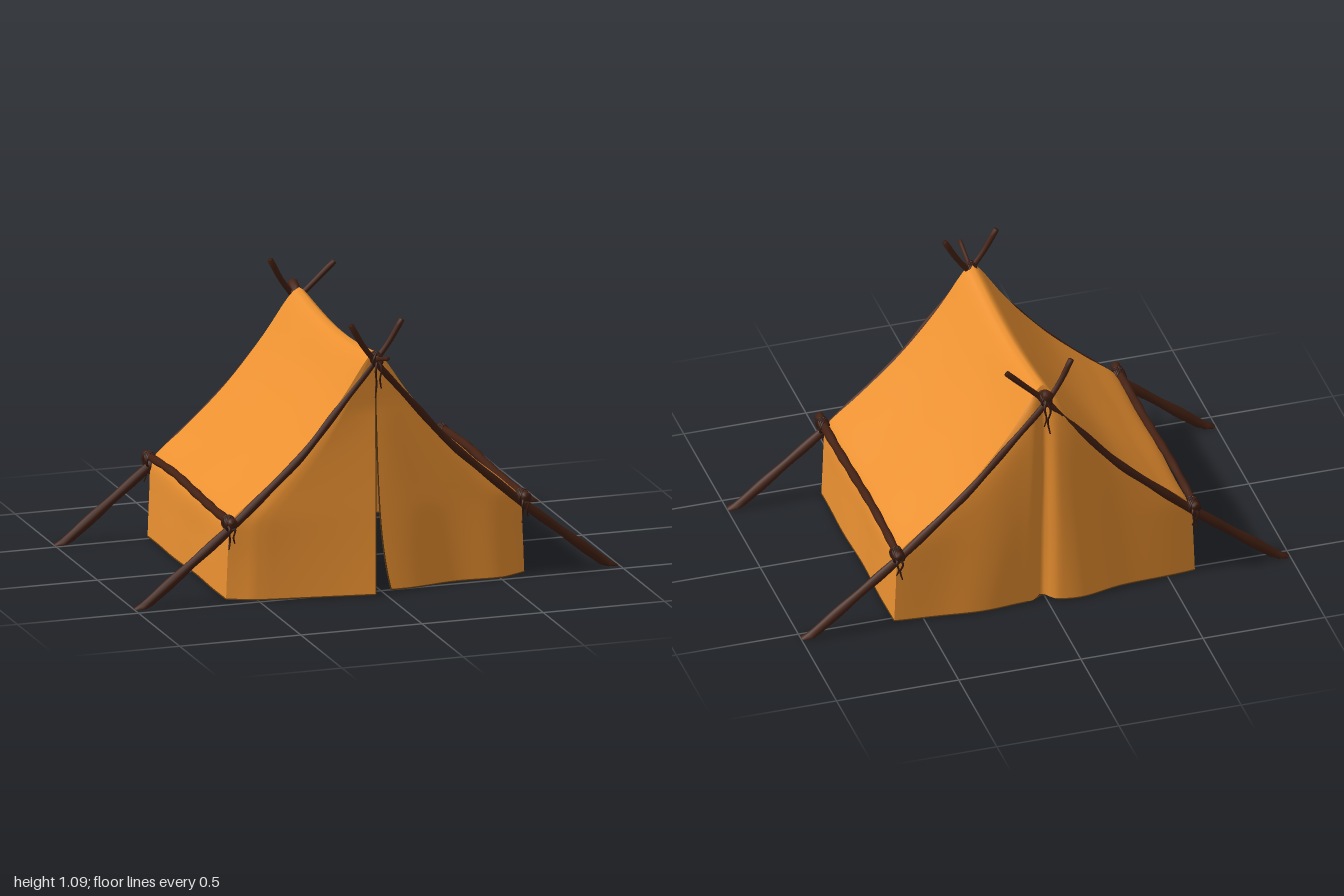
import * as THREE from 'three';
import { mergeVertices } from 'three/addons/utils/BufferGeometryUtils.js';

const canvas = new THREE.MeshStandardMaterial({ color: 0xea9030, side: THREE.DoubleSide });
const hemMat = new THREE.MeshStandardMaterial({ color: 0x5c3a14 });
const wood = new THREE.MeshStandardMaterial({ color: 0x432012 });
const rope = new THREE.MeshStandardMaterial({ color: 0x35190f });

const FRONT = 0.43, BACK = -0.525;
const { lerp, clamp } = THREE.MathUtils;
const V = (x, y, z) => new THREE.Vector3(x, y, z);
const curveOf = pts => new THREE.CatmullRomCurve3(pts.map(p => V(...p)), false, 'centripetal');

function add(parent, name, geometry, material) {
  const mesh = new THREE.Mesh(geometry, material);
  mesh.name = name;
  parent.add(mesh);
  return mesh;
}

// Tapered, slightly knobbly branch with closed ends; anything under the floor is cut flat
function branch(pts, r0, r1, { sides = 10, n = 50, knob = 0.08, floor = -1 } = {}) {
  const curve = curveOf(pts), g = new THREE.TubeGeometry(curve, n, 1, sides), pos = g.attributes.position;
  const p = V(0, 0, 0);
  for (let i = 0; i <= n; i++) {
    const t = clamp((i - 1) / (n - 2), 0, 1), c = curve.getPointAt(i / n), hub = curve.getPointAt(t);
    const r = i === 0 || i === n ? 0 : lerp(r0, r1, t) * (1 + knob * Math.sin(i * 0.9 + r0 * 400));
    for (let j = 0; j <= sides; j++) {
      const k = i * (sides + 1) + j;
      p.fromBufferAttribute(pos, k).sub(c).multiplyScalar(r).add(hub);
      pos.setXYZ(k, p.x, Math.max(p.y, floor), p.z);
    }
  }
  g.deleteAttribute('uv');
  g.deleteAttribute('normal');
  const out = mergeVertices(g, 1e-5);
  out.computeVertexNormals();
  return out;
}

// Smooth sheet from a rule f(u, v) -> Vector3
function sheet(f, nu, nv) {
  const pos = [], idx = [];
  for (let i = 0; i <= nu; i++) for (let j = 0; j <= nv; j++) {
    pos.push(...f(i / nu, j / nv).toArray());
    if (i < nu && j < nv) {
      const a = i * (nv + 1) + j, b = a + nv + 1;
      idx.push(a, b, a + 1, b, b + 1, a + 1);
    }
  }
  const g = new THREE.BufferGeometry();
  g.setAttribute('position', new THREE.Float32BufferAttribute(pos, 3));
  g.setIndex(idx);
  g.computeVertexNormals();
  return g;
}

// Half cross-section of the canvas, ridge (s = 0) to hem (s = 1)
const half = curveOf([[0, 0.968, 0], [0.025, 0.95, 0], [0.14, 0.785, 0], [0.3, 0.597, 0], [0.46, 0.449, 0],
  [0.585, 0.343, 0], [0.6, 0.315, 0], [0.609, 0.17, 0], [0.615, 0.018, 0]]);
function clothPoint(s, z, side) {
  const p = half.getPointAt(s);
  const t = (z - BACK) / (FRONT - BACK), high = Math.max(0, (p.y - 0.34) / 0.63);
  const sag = -0.04 * Math.sin(Math.PI * t) + 0.017 * (1 - t);
  const ripple = 0.004 * Math.sin(Math.PI * t) * Math.sin(z * 11 + s * 5 + side) * (1 - high);
  return V(side * (p.x + ripple), p.y + sag * high * high, z);
}
const backEdge = s => BACK + 0.03 * (1 - s) ** 8;

// Front flap: hangs from the pole edge to the middle slit and swings outward low down
function flapPoint(u, s, side) {
  const p = clothPoint(s, FRONT, side), low = clamp(1 - p.y / 0.74, 0, 1);
  const inner = side < 0 ? -0.04 * low : 0.044 * low ** 4;
  const swing = side < 0 ? 0.095 * u : 0.04 * u + 0.01 * Math.sin(u * 9);
  const z = FRONT + low * (swing + 0.025 * Math.min(1, u * 6)) + 0.008 * Math.min(1, u * 4) * Math.min(1, s * 4);
  return V(lerp(p.x, inner, u), p.y, z);
}

// Back wall: closed, with a narrow pleat down the middle and soft swells beside it
function backPoint(u, s) {
  const z = backEdge(s), e = clothPoint(s, z, 1), x = (2 * u - 1) * e.x;
  const low = clamp(1 - e.y / 0.95, 0, 1), edge = 1 - (2 * u - 1) ** 6;
  const bump = (c, w) => Math.exp(-(((x - c * (0.3 + 0.7 * low)) / w) ** 2));
  const out = 0.015 + 0.04 * bump(-0.13, 0.13) + 0.022 * bump(0.26, 0.16) - 0.045 * bump(0.01, 0.028);
  return V(x, e.y, z - Math.sqrt(low) * out * edge);
}

const hem = f => {
  const pts = [];
  for (let i = 0; i <= 30; i++) pts.push(f(i / 30).toArray());
  return branch(pts, 0.003, 0.003, { sides: 5, knob: 0 });
};

// Crossed cord turns round a joint, with loose hanging ends
function lashing(name, x, y, z, r, drop) {
  const g = new THREE.Group(), out = Math.sign(z);
  g.name = name;
  g.position.set(x, y, z);
  for (const tilt of [-1, 1]) for (let k = -1; k <= 1; k++) {
    const turn = add(g, 'cordTurn', new THREE.TorusGeometry(r, 0.005, 6, 18), rope);
    turn.rotation.set(0.2 * k, tilt * 0.7, tilt * 0.3);
    turn.position.z = k * 0.009;
  }
  for (const k of [-1, 1]) {
    const len = drop * (k < 0 ? 1 : 0.75);
    add(g, 'looseCord', branch([[0, 0.005, out * r * 0.6], [k * 0.012, -len * 0.25, out * (r + 0.01)],
      [k * 0.005, -len * 0.65, out * (r + 0.004 + 0.007 * k)], [k * 0.012, -len, out * (r + 0.004)]],
    0.005, 0.003, { sides: 6, n: 18 }), rope);
  }
  return g;
}

export function createModel() {
  const tent = new THREE.Group();
  tent.name = 'tent';

  // Canvas
  add(tent, 'roofAndSideWalls', sheet((u, v) => {
    const k = 2 * u - 1, s = Math.abs(k);
    return clothPoint(s, lerp(backEdge(s), FRONT, v), k < 0 ? -1 : 1);
  }, 96, 32), canvas);
  add(tent, 'backWall', sheet(backPoint, 80, 48), canvas);
  add(tent, 'backHem', hem(t => backPoint(t, 1)), hemMat);
  for (const side of [-1, 1]) {
    const label = side < 0 ? 'right' : 'left';
    add(tent, label + 'Flap', sheet((u, v) => flapPoint(u, v, side), 30, 48), canvas);
    add(tent, label + 'FlapBottomHem', hem(t => flapPoint(t, 1, side)), hemMat);
    add(tent, label + 'FlapSlitHem', hem(t => flapPoint(1, 0.15 + 0.85 * t, side)), hemMat);
    add(tent, label + 'SideHem', hem(t => clothPoint(1, lerp(BACK, FRONT, t), side)), hemMat);
  }

  // Crossed poles at each end
  const ends = [
    { name: 'front', z: 0.439, cross: 0.014, tips: { '-1': [0.11, 1.09, 0.43], 1: [-0.11, 1.09, 0.46] } },
    { name: 'back', z: -0.531, cross: -0.012, tips: { '-1': [0.15, 1.07, -0.508], 1: [-0.11, 1.095, -0.522] } },
  ];
  for (const { name, z, cross, tips } of ends) {
    for (const side of [-1, 1]) {
      const tip = tips[side], zx = z + side * cross;
      add(tent, name + (side < 0 ? 'Right' : 'Left') + 'Pole', branch([
        [side * 0.985, -0.003, z], [side * 0.8, 0.145, z], [side * 0.6, 0.306, z], [side * 0.46, 0.43, z],
        [side * 0.3, 0.578, z], [side * 0.15, 0.75, (z + zx) / 2], [0, 0.925, zx],
        [tip[0] * 0.55, 1.005, (zx + tip[2]) / 2], tip], 0.021, 0.011, { floor: 0.015 }), wood);
      tent.add(lashing(name + 'RailLashing', side * 0.605, 0.328, z, 0.027, 0.1));
    }
    tent.add(lashing(name + 'RidgeLashing', 0, 0.94, z, 0.025, 0.15));
  }

  // Ridge pole under the canvas, thick at the back and thin at the front
  add(tent, 'ridgePole', branch([[0, 0.976, -0.577], [0, 0.965, -0.54], [0, 0.925, -0.48], [0, 0.9, -0.25],
    [0, 0.885, 0], [0, 0.895, 0.2], [0, 0.925, 0.4], [0, 0.95, 0.48], [0, 0.98, 0.585]], 0.021, 0.008), wood);

  // Side rails along the eaves
  for (const side of [-1, 1]) add(tent, side < 0 ? 'rightRail' : 'leftRail', branch([
    [side * 0.606, 0.338, 0.49], [side * 0.606, 0.334, 0.3], [side * 0.604, 0.34, 0.05],
    [side * 0.605, 0.352, -0.22], [side * 0.607, 0.338, -0.57]], 0.018, 0.016), wood);

  return tent;
}
